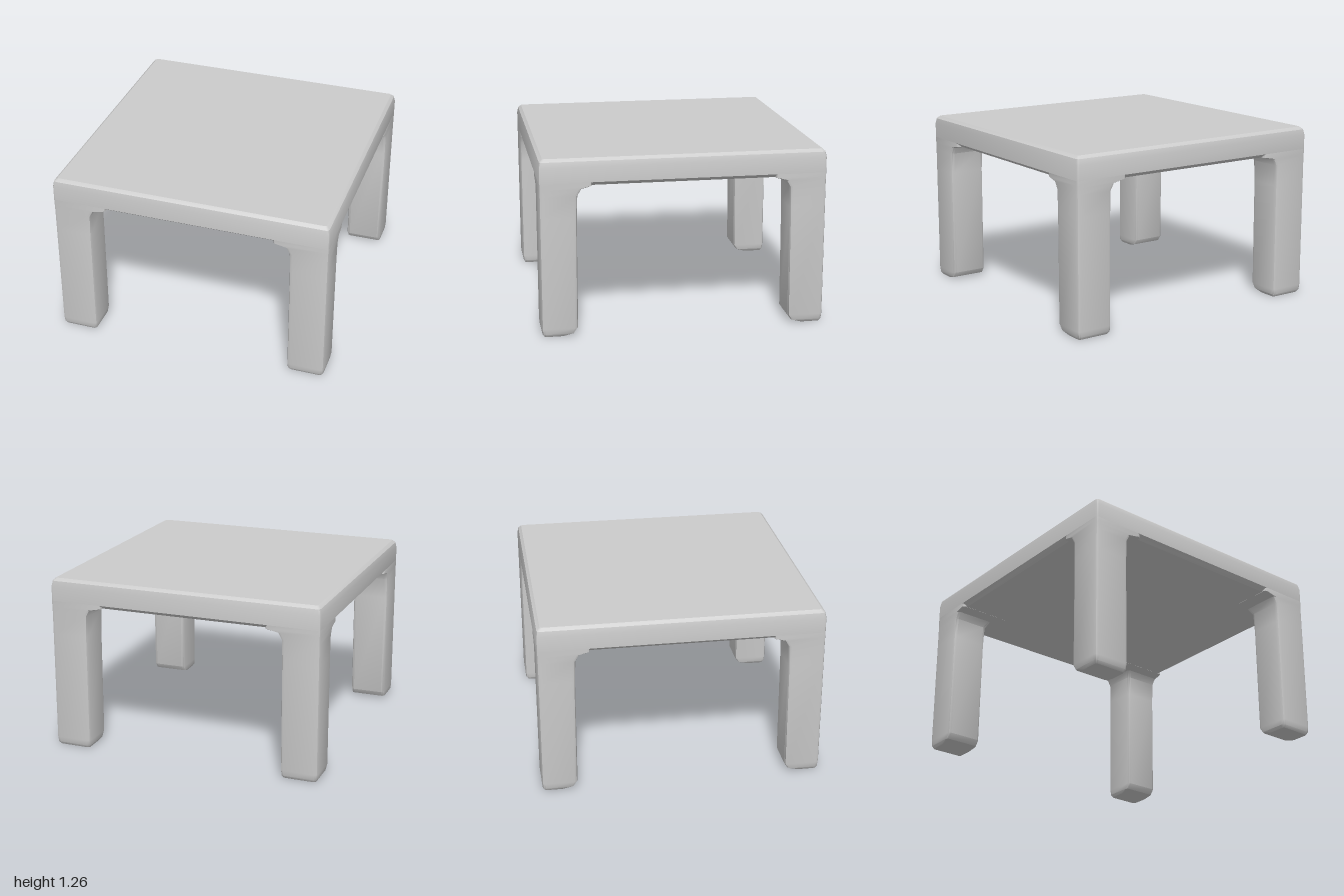
import * as THREE from 'three';
import { mergeVertices, toCreasedNormals } from 'three/addons/utils/BufferGeometryUtils.js';

const SEG = 2; // segments per rounded corner

// Rounded rectangle at height y, counted from +x towards +z
function ring(y, x0, x1, z0, z1, r) {
  const pts = [];
  const corners = [[x1 - r, z1 - r], [x0 + r, z1 - r], [x0 + r, z0 + r], [x1 - r, z0 + r]];
  corners.forEach(([cx, cz], c) => {
    for (let i = 0; i <= SEG; i++) {
      const a = (c + i / SEG) * Math.PI / 2;
      pts.push([cx + r * Math.cos(a), y, cz + r * Math.sin(a)]);
    }
  });
  return pts;
}

// Closed solid through a stack of rings, bottom to top
function loft(rings) {
  const n = rings[0].length;
  const index = [];
  for (let k = 0; k < rings.length - 1; k++) {
    for (let i = 0; i < n; i++) {
      const a = k * n + i, b = k * n + (i + 1) % n;
      index.push(a, a + n, b, b, a + n, b + n);
    }
  }
  const top = (rings.length - 1) * n;
  for (let i = 1; i < n - 1; i++) {
    index.push(0, i, i + 1);
    index.push(top, top + i + 1, top + i);
  }
  const geo = new THREE.BufferGeometry();
  geo.setAttribute('position', new THREE.Float32BufferAttribute(rings.flat(2), 3));
  geo.setIndex(index);
  return toCreasedNormals(mergeVertices(geo), 0.6);
}

export function createModel() {
  const group = new THREE.Group();
  const material = new THREE.MeshStandardMaterial({ color: 0xcccccc });
  const add = (name, geo) => {
    const mesh = new THREE.Mesh(geo, material);
    mesh.name = name;
    group.add(mesh);
  };

  // Slab: [height, half width, corner radius], edges softened above and below
  const slab = [
    [1.068, 0.965, 0.015], [1.095, 1, 0.02], [1.2, 1, 0.02],
    [1.24, 0.992, 0.02], [1.26, 0.97, 0.015],
  ];
  add('tableTop', loft(slab.map(([y, h, r]) => ring(y, -h, h, -h, h, r))));

  // Leg: [height, outer face, inner x, inner z, corner radius];
  // the foot is bevelled and the top flares into the slab
  const leg = [
    [0, 0.982, 0.745, 0.84, 0.015],
    [0.02, 0.995, 0.732, 0.775, 0.02],
    [0.06, 1, 0.729, 0.748, 0.024],
    [0.85, 1, 0.728, 0.744, 0.024],
    [1.0, 1, 0.724, 0.738, 0.024],
    [1.048, 1, 0.7, 0.71, 0.022],
    [1.067, 1, 0.61, 0.64, 0.02],
    [1.095, 1, 0.61, 0.64, 0.02],
  ];
  for (const sx of [-1, 1]) {
    for (const sz of [-1, 1]) {
      const span = (s, inner, outer) => (s > 0 ? [inner, outer] : [-outer, -inner]);
      const rings = leg.map(([y, o, ix, iz, r]) => ring(y, ...span(sx, ix, o), ...span(sz, iz, o), r));
      add((sz > 0 ? 'front' : 'back') + (sx > 0 ? 'Left' : 'Right') + 'Leg', loft(rings));
    }
  }
  return group;
}
